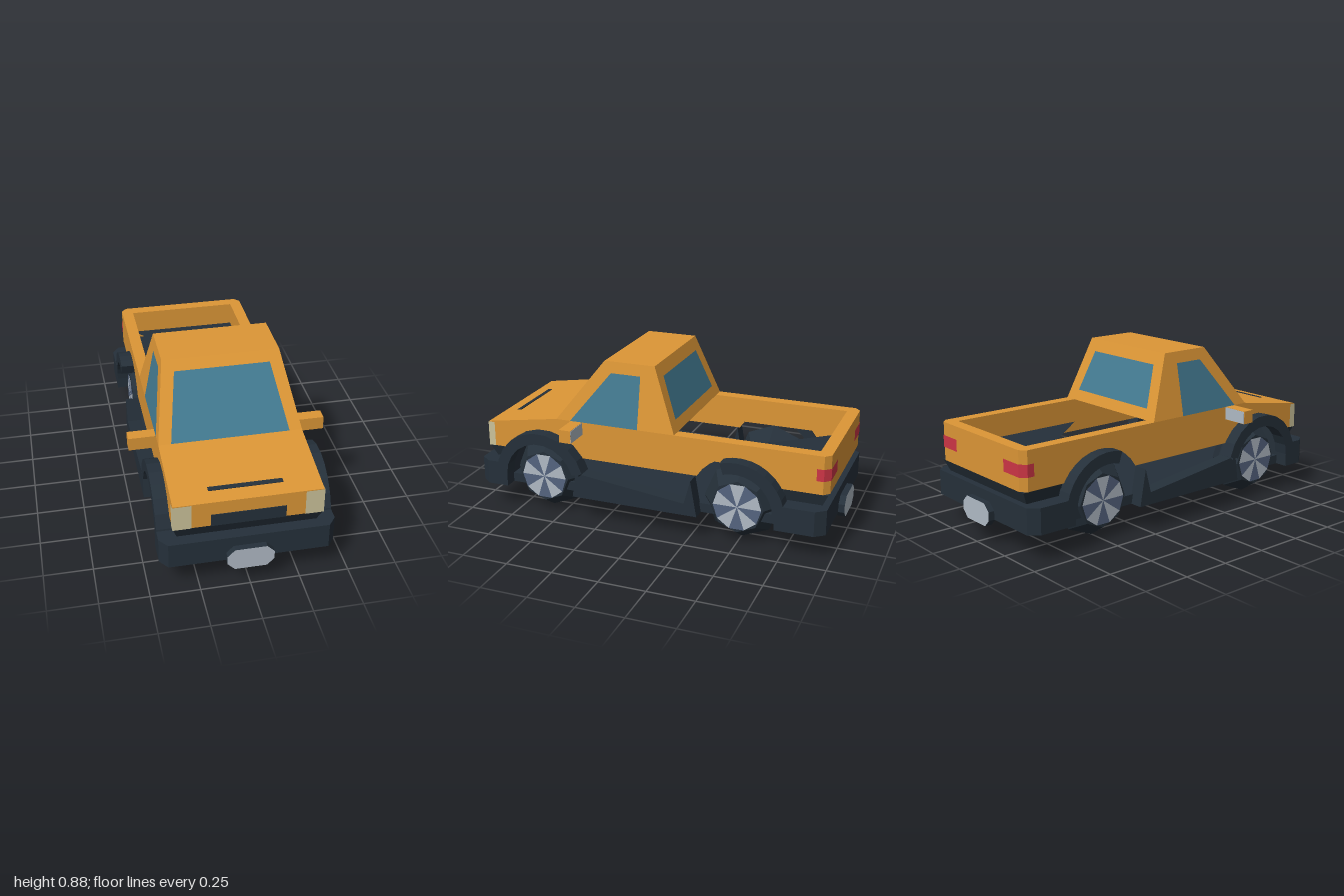
import * as THREE from 'three';

const mat = (name, color) => new THREE.MeshStandardMaterial({ name, color, side: THREE.DoubleSide });

export function createModel() {
  const truck = new THREE.Group();
  truck.name = 'pickupTruck';
  const paint = mat('orangePaint', 0xdc9636);
  const glass = mat('tealGlass', 0x437a91);
  const dark = mat('darkTrim', 0x25303a);
  const silver = mat('silver', 0xb0bac5);
  const steel = mat('blueSteel', 0x55647f);
  const cream = mat('headlightCream', 0xccc39b);
  const red = mat('tailRed', 0xcc3545);

  const add = (name, geo, material, parent = truck) => {
    const m = new THREE.Mesh(geo, material);
    m.name = name;
    parent.add(m);
    return m;
  };
  // Flat faces, each a fan of corner points
  const faces = (...polys) => {
    const pos = [];
    for (const p of polys)
      for (let i = 1; i < p.length - 1; i++) pos.push(...p[0], ...p[i], ...p[i + 1]);
    const g = new THREE.BufferGeometry();
    g.setAttribute('position', new THREE.Float32BufferAttribute(pos, 3));
    g.computeVertexNormals();
    return g;
  };
  const flat = (g) => {
    const f = g.toNonIndexed();
    f.computeVertexNormals();
    return f;
  };
  const shape = (pts) => new THREE.Shape(pts.map(([a, b]) => new THREE.Vector2(a, b)));
  // Side profile (z, y) extruded from x0 to x1
  const sideExtrude = (pts, x0, x1) =>
    new THREE.ExtrudeGeometry(shape(pts), { depth: x1 - x0, bevelEnabled: false })
      .rotateY(-Math.PI / 2).translate(x1, 0, 0);
  // Plan outline (x, z) extruded from y0 to y1
  const planExtrude = (pts, y0, y1) =>
    new THREE.ExtrudeGeometry(shape(pts), { depth: y1 - y0, bevelEnabled: false })
      .rotateX(Math.PI / 2).translate(0, y1, 0);
  const arc = (cz, r, from, to, n = 10) => Array.from({ length: n + 1 }, (_, i) => {
    const a = (from + (to - from) * i / n) * Math.PI / 180;
    return [cz + r * Math.cos(a), 0.21 + r * Math.sin(a)];
  });
  const FRONT = 0.6, REAR = -0.5, W = 0.37, BELT = 0.545, ROOF = 0.88;

  // Body sides with wheel arches
  const sidePts = [[0.935, 0.34], [0.935, 0.478], [0.52, BELT], [-0.935, BELT], [-0.935, 0.34],
    ...arc(REAR, 0.26, 150, 30), ...arc(FRONT, 0.26, 150, 30)];
  for (const s of [1, -1])
    add('bodySide', new THREE.ShapeGeometry(shape(sidePts)).rotateY(-Math.PI / 2).translate(s * W, 0, 0), paint);

  // Hood, nose and tailgate with chamfered corners
  add('hoodAndNose', faces(
    [[-W, 0.478, 0.935], [W, 0.478, 0.935], [W, BELT, 0.52], [-W, BELT, 0.52]],
    [[-W, 0.34, 0.935], [W, 0.34, 0.935], [W, 0.478, 0.935], [-W, 0.478, 0.935]]), paint);
  const tail = [[-W, -0.935], [-0.34, -0.965], [0.34, -0.965], [W, -0.935]];
  const wall = (pts, y0, y1) => faces(...pts.slice(1).map(([x, z], i) => {
    const [px, pz] = pts[i];
    return [[px, y0, pz], [px, y1, pz], [x, y1, z], [x, y0, z]];
  }));
  add('tailgate', wall(tail, 0.34, BELT), paint);

  // Cargo bed: top rail, inner walls and floor
  const inner = [[-0.305, -0.15], [-0.305, -0.9], [0.305, -0.9], [0.305, -0.15]];
  add('bedRail', new THREE.ShapeGeometry(shape([[-W, -0.15], ...tail, [W, -0.15], ...[...inner].reverse()]))
    .rotateX(Math.PI / 2).translate(0, BELT, 0), paint);
  add('bedWalls', wall(inner, 0.405, BELT), paint);
  add('bedFloor', faces([[-0.305, 0.415, -0.9], [0.305, 0.415, -0.15], [0.305, 0.415, -0.9]]), dark);

  // Cab panels, each a painted frame around a pane
  const t = (y) => (y - BELT) / (ROOF - BELT);
  const panel = (name, outer, pane) => {
    add(name + 'Frame', faces(...outer.map((p, i) => {
      const j = (i + 1) % outer.length;
      return [p, outer[j], pane[j], pane[i]];
    })), paint);
    add(name + 'Glass', faces(pane), glass);
  };
  for (const s of [1, -1]) {
    const at = ([z, y]) => [s * (W - 0.065 * t(y)), y, z];
    panel('cabSide', [[0.52, BELT], [0.26, ROOF], [-0.02, ROOF], [-0.15, BELT]].map(at),
      [[0.44, BELT], [0.22, 0.82], [0.055, 0.82], [0.055, BELT]].map(at));
  }
  const trapezoid = (wLow, yLow, wHigh, yHigh, z0, z1) =>
    [[-wLow, yLow], [wLow, yLow], [wHigh, yHigh], [-wHigh, yHigh]].map(([x, y]) => [x, y, z0 + (z1 - z0) * t(y)]);
  panel('windshield', trapezoid(W, BELT, 0.305, ROOF, 0.52, 0.26),
    trapezoid(0.305, BELT, 0.248, 0.83, 0.52, 0.26));
  panel('rearWindow', trapezoid(W, BELT, 0.305, ROOF, -0.15, -0.02),
    trapezoid(0.29, 0.6, 0.245, 0.815, -0.15, -0.02));
  add('roof', faces([[-0.305, ROOF, 0.26], [0.305, ROOF, 0.26], [0.305, ROOF, -0.02], [-0.305, ROOF, -0.02]]), paint);

  // Grille and hood slot
  add('grille', new THREE.BoxGeometry(0.37, 0.066, 0.006).translate(0, 0.373, 0.936), dark);
  const slot = add('hoodSlot', new THREE.BoxGeometry(0.37, 0.006, 0.025), dark);
  slot.position.set(0, 0.492, 0.848);
  slot.rotation.x = Math.atan2(0.067, 0.415);

  // Lights wrapping round the corners, and mirrors
  for (const s of [1, -1]) {
    add('headlight', wall([[s * 0.28, 0.938], [s * 0.373, 0.938], [s * 0.373, 0.9]], 0.34, 0.476), cream);
    add('tailLight', wall([[s * 0.215, -0.968], [s * 0.342, -0.968], [s * 0.373, -0.937], [s * 0.373, -0.9]], 0.412, 0.476), red);
    add('mirrorHousing', new THREE.BoxGeometry(0.14, 0.07, 0.065).translate(s * 0.44, 0.51, 0.403), paint);
    add('mirrorGlass', new THREE.BoxGeometry(0.136, 0.066, 0.004).translate(s * 0.44, 0.51, 0.37), silver);
  }

  // Chassis floor and sills
  add('chassis', new THREE.BoxGeometry(0.74, 0.05, 1.8).translate(0, 0.165, 0), dark);
  const sill = [[0.405, 0.14], [0.375, 0.34], [0.365, 0.26], [0.35, 0.275], [-0.23, 0.205], [-0.265, 0.335], [-0.3, 0.14]];
  for (const s of [0, 1]) add('sill', sideExtrude(sill, s ? 0.36 : -0.44, s ? 0.44 : -0.36), dark);

  // Bumpers, tapered lower skirts and plates at both ends
  const plate = shape([[-0.117, 0.14], [-0.08, 0.103], [0.08, 0.103], [0.117, 0.14],
    [0.117, 0.185], [0.08, 0.222], [-0.08, 0.222], [-0.117, 0.185]]);
  for (const [e, back] of [[1, 0.8], [-1, 0.71]]) {
    const end = new THREE.Group();
    end.name = e > 0 ? 'frontBumper' : 'rearBumper';
    truck.add(end);
    add('bumper', planExtrude([[-0.44, e * back], [-0.44, e * 0.915], [-0.4, e * 0.967],
      [0.4, e * 0.967], [0.44, e * 0.915], [0.44, e * back]], 0.14, 0.275), dark, end);
    const depth = 0.935 - back;
    const skirt = new THREE.BoxGeometry(0.738, 0.066, depth);
    const p = skirt.attributes.position;
    for (let i = 0; i < p.count; i++) if (p.getY(i) < 0) {
      p.setX(i, p.getX(i) * 0.945);
      if (p.getZ(i) * e > 0) p.setZ(i, p.getZ(i) - e * 0.03);
    }
    add('skirt', flat(skirt.translate(0, 0.307, e * (back + depth / 2 + (e < 0 ? 0.027 : 0)))), dark, end);
    const plateGeo = new THREE.ExtrudeGeometry(plate, { depth: 0.04, bevelEnabled: false });
    add('plate', plateGeo.translate(0, 0, e > 0 ? 0.96 : -1), [silver, dark], end);
  }

  // Wheel arch flares
  for (const [z, from, to] of [[FRONT, 0, 165], [REAR, 72, 180]]) {
    const pts = [...arc(z, 0.262, from, to), ...arc(z, 0.2, to, from)];
    for (const s of [0, 1]) add('archFlare', sideExtrude(pts, s ? 0.36 : -0.44, s ? 0.44 : -0.36), dark);
  }

  // Wheels: eight-sided ridged tyres with two-tone rims on both faces
  const tyre = flat(new THREE.LatheGeometry([[0, -0.097], [0.142, -0.097], [0.207, 0], [0.142, 0.097], [0, 0.097]]
    .map(([r, h]) => new THREE.Vector2(r, h)), 8).rotateZ(Math.PI / 2));
  const rim = new THREE.CircleGeometry(0.13, 10);
  for (let i = 0; i < 10; i++) rim.addGroup(i * 3, 3, i % 2);
  for (const z of [FRONT, REAR]) for (const s of [1, -1]) {
    const wheel = new THREE.Group();
    wheel.name = z > 0 ? 'frontWheel' : 'rearWheel';
    wheel.position.set(s * 0.288, 0.207, z);
    add('tyre', tyre, dark, wheel);
    for (const f of [1, -1]) {
      const r = add('rim', rim, [silver, steel], wheel);
      r.position.x = f * 0.1;
      r.rotation.y = f * Math.PI / 2;
    }
    truck.add(wheel);
  }
  return truck;
}
